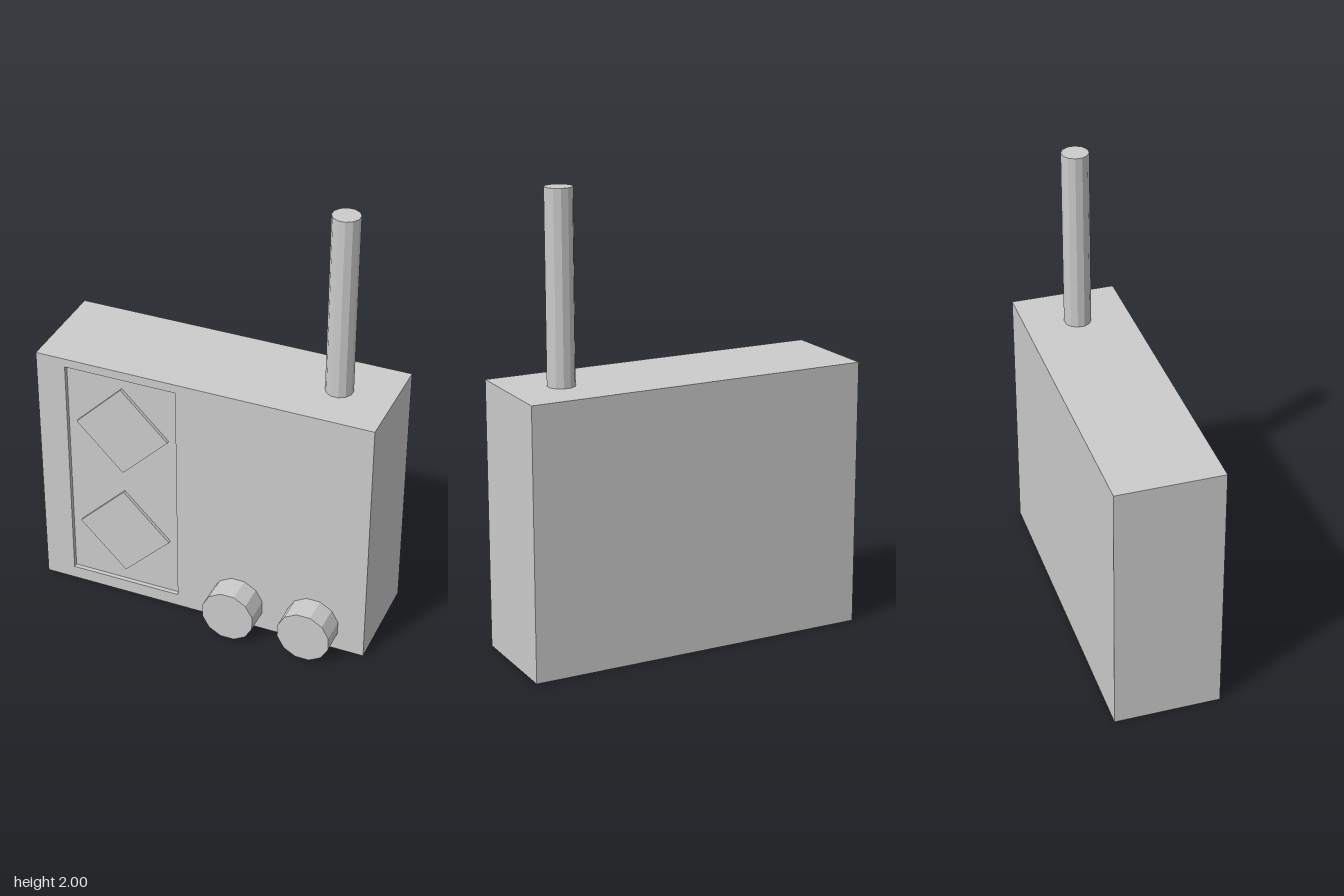
import * as THREE from 'three';

const material = new THREE.MeshStandardMaterial({ color: 0xcccccc, flatShading: true });

// Body and recess dimensions
const HALF_W = 0.765, HEIGHT = 1.18, BACK = -0.295, FRONT = 0.175, RECESS = 0.02;
const PANEL = { x0: -0.63, x1: -0.115, y0: 0.06, y1: 1.14 };

function add(parent, name, geometry, x, y, z) {
  const mesh = new THREE.Mesh(geometry, material);
  mesh.name = name;
  mesh.position.set(x, y, z);
  parent.add(mesh);
  return mesh;
}

function rectangle(target, x0, y0, x1, y1) {
  target.moveTo(x0, y0);
  target.lineTo(x1, y0);
  target.lineTo(x1, y1);
  target.lineTo(x0, y1);
  target.closePath();
  return target;
}

// Twelve-sided rod whose flats face the axes
const rod = (radius, length) =>
  new THREE.CylinderGeometry(radius, radius, length, 12, 1, false, Math.PI / 12);

export function createModel() {
  const radio = new THREE.Group();
  radio.name = 'radio';

  // Main case, ending at the floor of the speaker recess
  const depth = FRONT - RECESS - BACK;
  add(radio, 'case', new THREE.BoxGeometry(HALF_W * 2, HEIGHT, depth), 0, HEIGHT / 2, BACK + depth / 2);

  // Front plate with the recess cut through it
  const plate = rectangle(new THREE.Shape(), -HALF_W, 0, HALF_W, HEIGHT);
  plate.holes.push(rectangle(new THREE.Path(), PANEL.x0, PANEL.y0, PANEL.x1, PANEL.y1));
  add(radio, 'frontPlate',
    new THREE.ExtrudeGeometry(plate, { depth: RECESS, bevelEnabled: false }), 0, 0, FRONT - RECESS);

  // Raised diamond speakers inside the recess
  const side = 0.215 * Math.SQRT2, thickness = 0.015;
  for (const [name, y] of [['upperSpeaker', 0.87], ['lowerSpeaker', 0.335]]) {
    const speaker = add(radio, name, new THREE.BoxGeometry(side, side, thickness),
      -0.372, y, FRONT - RECESS + thickness / 2);
    speaker.rotation.z = Math.PI / 4;
  }

  // Knobs
  for (const [name, x] of [['tuningKnob', 0.174], ['volumeKnob', 0.527]]) {
    const knob = add(radio, name, rod(0.121, 0.12), x, 0.118, FRONT + 0.06);
    knob.rotation.x = Math.PI / 2;
  }

  // Antenna
  add(radio, 'antenna', rod(0.06, 2 - HEIGHT), 0.527, (2 + HEIGHT) / 2, -0.06);

  return radio;
}
